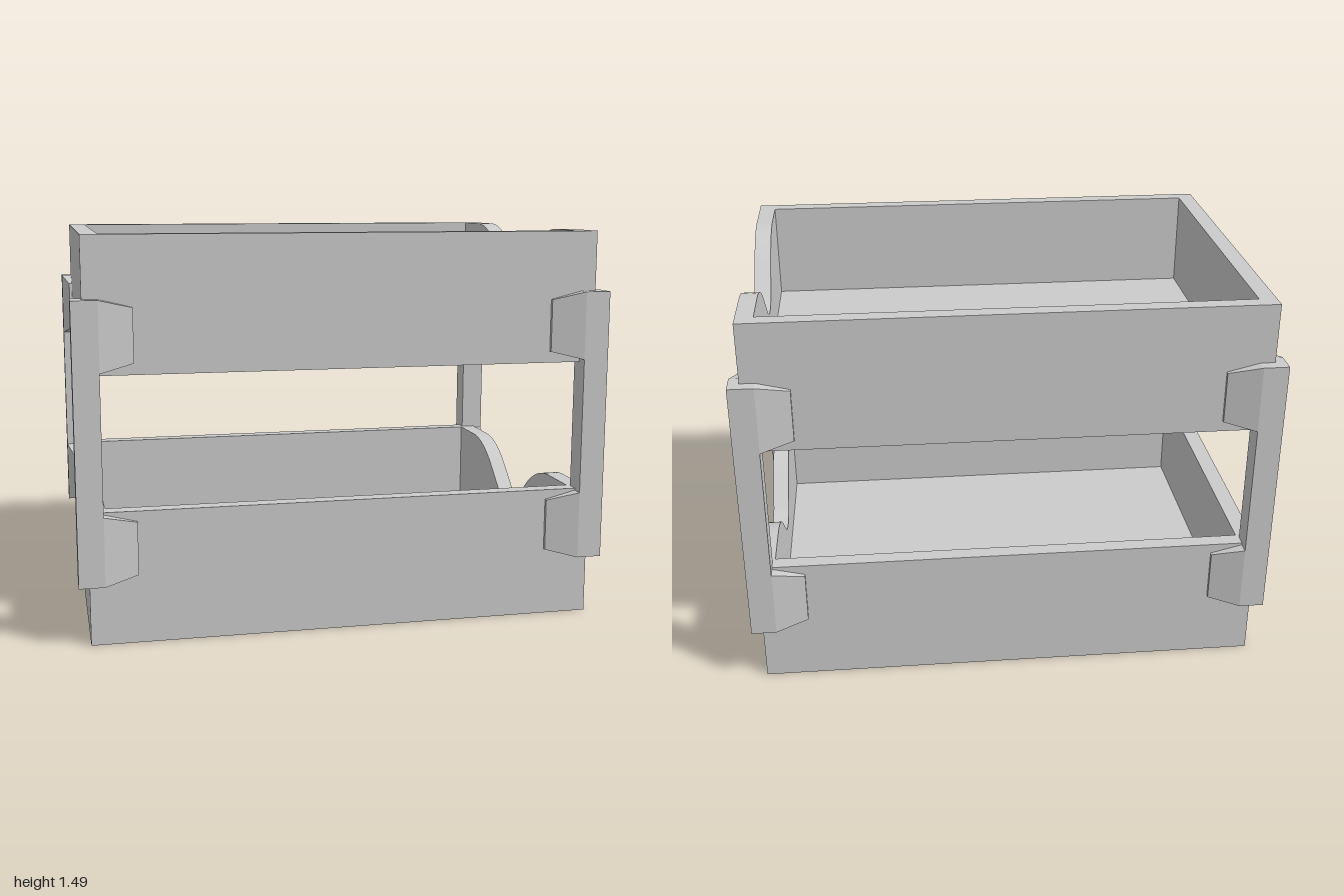
import * as THREE from 'three';
import { toCreasedNormals } from 'three/addons/utils/BufferGeometryUtils.js';
import { ConvexGeometry } from 'three/addons/geometries/ConvexGeometry.js';

const X = 0.96, Z = 0.69;         // outer half sizes of a tray
const IX = 0.895, IZ = 0.63;      // inner half sizes
const H = 0.495, FLOOR = 0.115;   // tray height and floor thickness
const UPPER = 0.99;               // base of the upper tray
const PX = 1.0, PZ = 0.735;       // outer corner of a post
const QX = 0.905, QZ = 0.645;     // inner corner of a post

const material = new THREE.MeshStandardMaterial({ color: 0xcccccc });

function add(parent, name, geometry) {
  const mesh = new THREE.Mesh(geometry, material);
  mesh.name = name;
  parent.add(mesh);
  return mesh;
}

// Box given by its limits, in any order
function block(x0, x1, y0, y1, z0, z1) {
  return new THREE.BoxGeometry(Math.abs(x1 - x0), Math.abs(y1 - y0), Math.abs(z1 - z0))
    .translate((x0 + x1) / 2, (y0 + y1) / 2, (z0 + z1) / 2);
}

// End wall with a smooth dip in its top edge
function notchedWall() {
  const s = new THREE.Shape();
  s.moveTo(-Z, 0);
  s.lineTo(Z, 0);
  s.lineTo(Z, H);
  s.lineTo(0.45, H);
  s.quadraticCurveTo(0.318, H, 0.2, H - 0.103);
  s.lineTo(0.1, H - 0.19);
  s.quadraticCurveTo(0.055, H - 0.229, 0, H - 0.229);
  s.quadraticCurveTo(-0.055, H - 0.229, -0.1, H - 0.19);
  s.lineTo(-0.2, H - 0.103);
  s.quadraticCurveTo(-0.318, H, -0.45, H);
  s.lineTo(-Z, H);
  s.closePath();
  const g = new THREE.ExtrudeGeometry(s, { depth: X - IX, bevelEnabled: false, curveSegments: 14 });
  return toCreasedNormals(g.rotateY(Math.PI / 2).translate(IX, 0, 0), 0.5);
}

function createTray(name, y) {
  const tray = new THREE.Group();
  tray.name = name;
  tray.position.y = y;
  add(tray, 'floor', block(-IX, IX, 0, FLOOR, -IZ, IZ));
  add(tray, 'frontWall', block(-X, IX, 0, H, IZ, Z));
  add(tray, 'backWall', block(-X, IX, 0, H, -Z, -IZ));
  add(tray, 'plainEndWall', block(-X, -IX, 0, H, -IZ, IZ));
  add(tray, 'notchedEndWall', notchedWall());
  return tray;
}

// Tapered clip wing: heights at the post (a0, a1) and at the tip (b0, b1)
function wing(a0, a1, b0, b1, place) {
  const pts = [];
  const corner = (along, y, out) => pts.push(place(along, y, out));
  for (const y of [a0, a1]) { corner(0, y, 0); corner(0, y, 1); }
  for (const y of [b0, b1]) { corner(1, y, 0); corner(1, y, 0.3); }
  return new ConvexGeometry(pts);
}

function createPost(name, sx, sz) {
  const post = new THREE.Group();
  post.name = name;
  add(post, 'column', block(sx * QX, sx * PX, H, UPPER, sz * QZ, sz * PZ));

  // Wings reach from the post along the front/back face and the end face
  const onFace = (t, y, o) => new THREE.Vector3(
    sx * THREE.MathUtils.lerp(QX, 0.783, t), y, sz * THREE.MathUtils.lerp(Z, PZ, o));
  const onEnd = (t, y, o) => new THREE.Vector3(
    sx * THREE.MathUtils.lerp(X, PX, o), y, sz * THREE.MathUtils.lerp(QZ, 0.522, t));

  const clips = [
    { name: 'lowerClip', y0: 0.23, y1: H, heights: [0.23, 0.487, 0.26, 0.457] },
    { name: 'upperClip', y0: UPPER, y1: 1.26, heights: [1.003, 1.26, 1.033, 1.23] },
  ];
  for (const c of clips) {
    add(post, c.name + 'Face', block(sx * QX, sx * PX, c.y0, c.y1, sz * Z, sz * PZ));
    add(post, c.name + 'End', block(sx * X, sx * PX, c.y0, c.y1, sz * QZ, sz * Z));
    add(post, c.name + 'FaceWing', wing(...c.heights, onFace));
    add(post, c.name + 'EndWing', wing(...c.heights, onEnd));
  }
  return post;
}

export function createModel() {
  const model = new THREE.Group();
  model.name = 'stackedTrays';
  model.add(createTray('lowerTray', 0), createTray('upperTray', UPPER));

  // Four corner posts clip the trays together
  for (const sx of [-1, 1]) {
    for (const sz of [-1, 1]) {
      const name = (sz > 0 ? 'front' : 'back') + (sx > 0 ? 'Left' : 'Right') + 'Post';
      model.add(createPost(name, sx, sz));
    }
  }
  return model;
}
